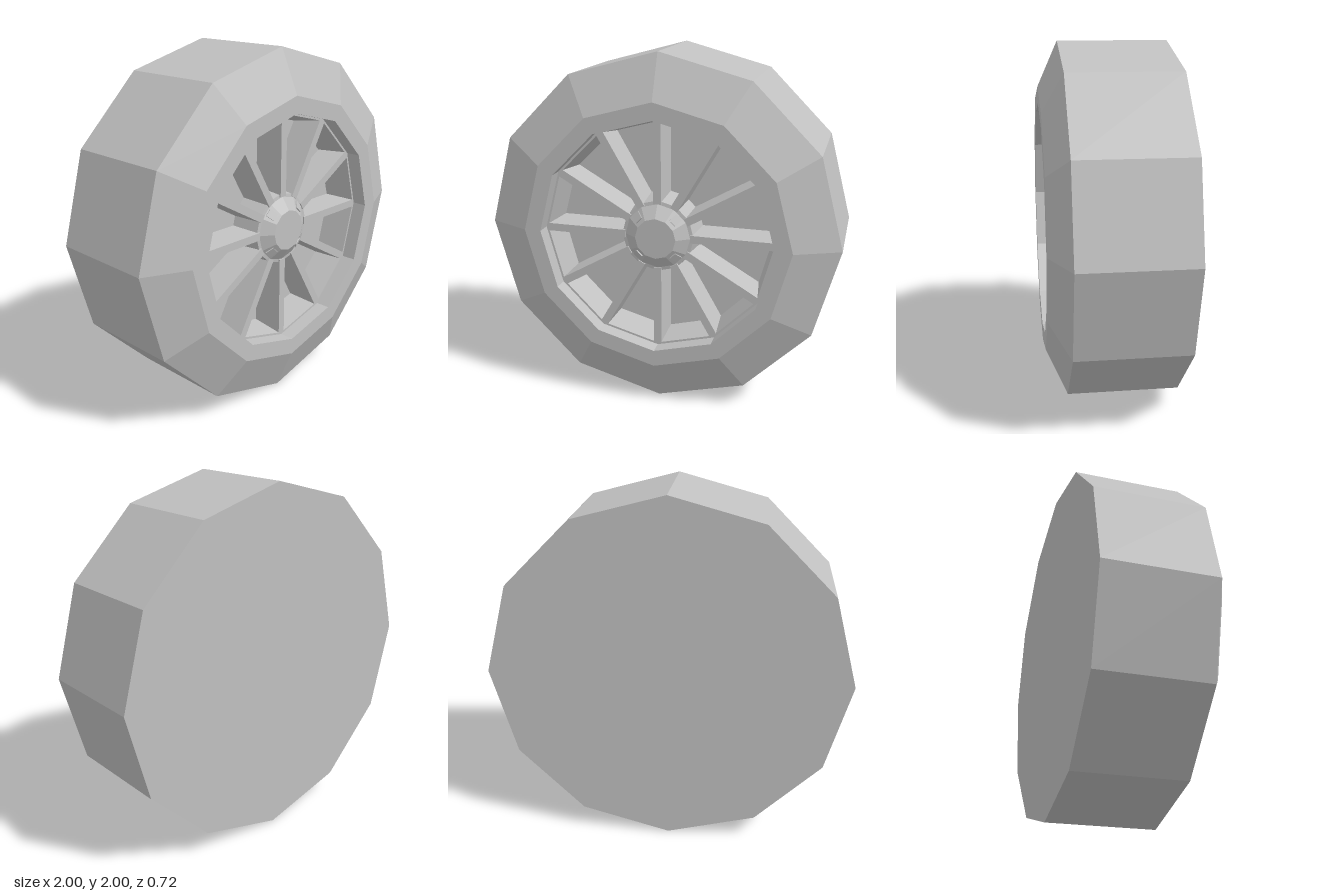
import * as THREE from 'three';

const SIDES = 12;

export function createModel() {
  const wheel = new THREE.Group();
  wheel.name = 'wheel';
  const grey = new THREE.MeshStandardMaterial({ color: 0xc0c0c0, flatShading: true });
  grey.name = 'plain grey';

  const add = (name, geometry, parent = wheel) => {
    const mesh = new THREE.Mesh(geometry, grey);
    mesh.name = name;
    parent.add(mesh);
    return mesh;
  };
  // Twelve-sided ring from [radius, z] pairs, turned so its axis is z
  const turned = (profile) => new THREE.LatheGeometry(
    profile.map(([r, z]) => new THREE.Vector2(r, z)), SIDES).rotateX(Math.PI / 2);

  // Tyre with flat back, bevelled front and stepped recess
  add('tyreAndRim', turned([
    [0, -0.36], [1, -0.36], [1, 0.25], [0.755, 0.36], [0.66, 0.36],
    [0.66, 0.275], [0.648, 0.275], [0.62, 0.1], [0, 0.1],
  ]));

  // Hub with sloping sides and a flat cap
  add('hub', turned([
    [0.225, 0.1], [0.205, 0.265], [0.185, 0.268], [0.115, 0.318], [0, 0.318],
  ]));

  // Spokes: tapered cross-section, wider at the recess floor
  const section = new THREE.Shape([
    [-0.03, -0.09], [0.03, -0.09], [0.022, -0.275], [-0.022, -0.275],
  ].map(([x, y]) => new THREE.Vector2(x, y)));
  const spokeGeometry = new THREE.ExtrudeGeometry(section, { depth: 0.475, bevelEnabled: false })
    .translate(0, 0, 0.185).rotateX(-Math.PI / 2);
  const spokes = new THREE.Group();
  spokes.name = 'spokes';
  wheel.add(spokes);
  for (let i = 0; i < SIDES; i++) {
    add('spoke', spokeGeometry, spokes).rotation.z = (i * Math.PI * 2) / SIDES;
  }

  // Four square bolts lying on the hub slope
  const boltGeometry = new THREE.BoxGeometry(0.045, 0.052, 0.02)
    .rotateX(-0.62).translate(0, 0.15, 0.285);
  for (let i = 0; i < 4; i++) {
    add('bolt', boltGeometry).rotation.z = Math.PI / 4 + (i * Math.PI) / 2;
  }

  wheel.position.y = 1;
  const model = new THREE.Group();
  model.name = 'model';
  model.add(wheel);
  return model;
}
